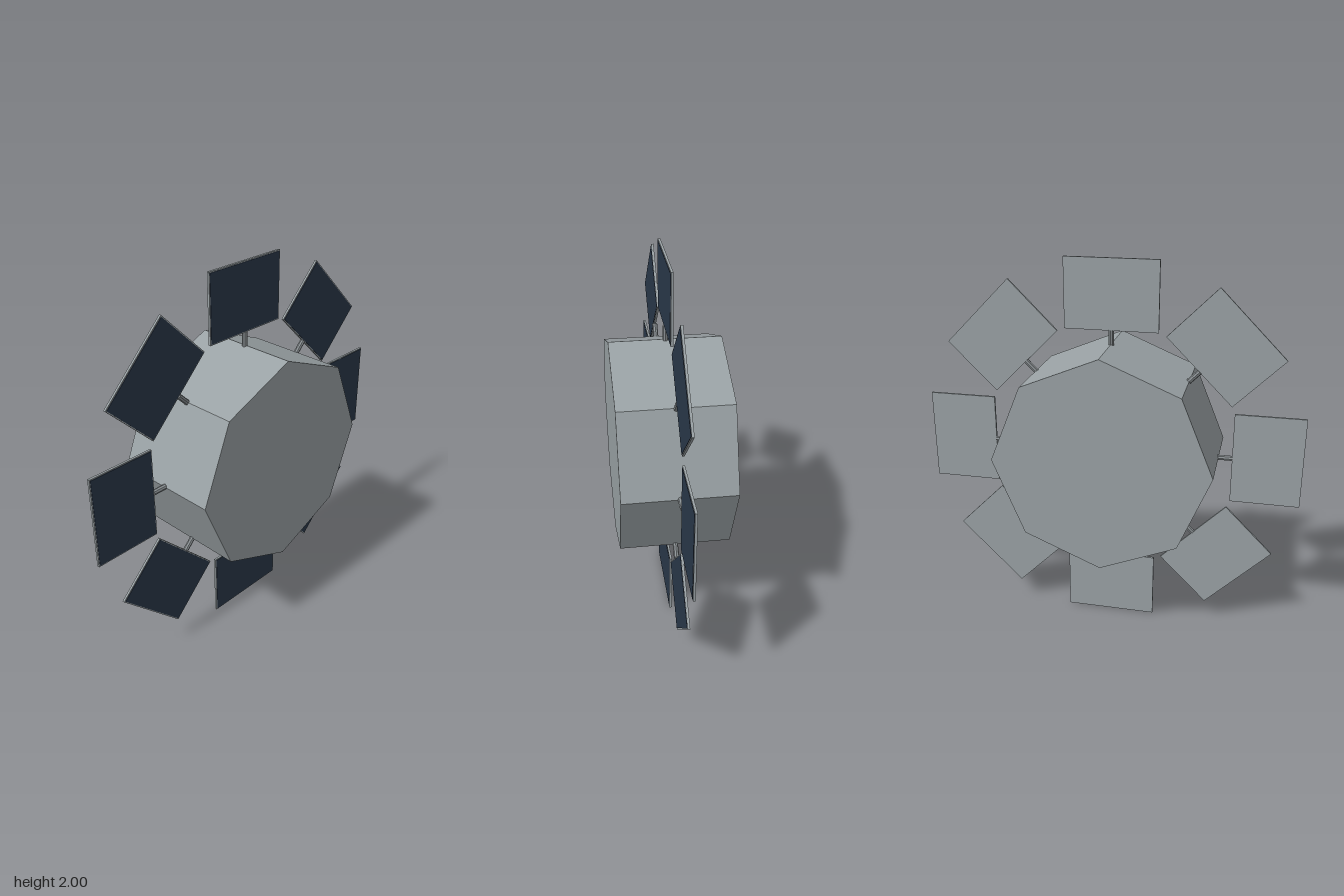
import * as THREE from 'three';

export function createModel() {
  const hullGrey = new THREE.MeshStandardMaterial({ name: 'hullGrey', color: 0x9aa2a5 });
  const strutGrey = new THREE.MeshStandardMaterial({ name: 'strutGrey', color: 0x8a9093 });
  const cellBlue = new THREE.MeshStandardMaterial({ name: 'cellBlue', color: 0x2a384a });

  const SIDES = 8, BODY_R = 0.57, BODY_DEPTH = 0.57;
  const PANEL_W = 0.485, PANEL_H = 0.36, PANEL_T = 0.012, RIM = 0.006;
  const PANEL_MID = 1 - PANEL_H / 2;

  const model = new THREE.Group();
  model.name = 'satellite';
  const add = (parent, name, geometry, material, x, y, z) => {
    const mesh = new THREE.Mesh(geometry, material);
    mesh.name = name;
    mesh.position.set(x, y, z);
    parent.add(mesh);
  };

  // Octagonal body with its axis along z and corners pointing at the panels
  const bodyGeo = new THREE.CylinderGeometry(BODY_R, BODY_R, BODY_DEPTH, SIDES)
    .toNonIndexed().rotateX(Math.PI / 2);
  bodyGeo.computeVertexNormals();
  add(model, 'body', bodyGeo, hullGrey, 0, 1, 0);

  // Short faceted struts, sunk into the body and ending at the panel
  const strutGeo = new THREE.CylinderGeometry(0.014, 0.014, 0.11, 8).toNonIndexed();
  strutGeo.computeVertexNormals();
  const panelGeo = new THREE.BoxGeometry(PANEL_W, PANEL_H, PANEL_T);
  const cellGeo = new THREE.BoxGeometry(PANEL_W - 2 * RIM, PANEL_H - 2 * RIM, 0.002);

  // One strut, panel and blue front face per body corner
  for (let i = 0; i < SIDES; i++) {
    const arm = new THREE.Group();
    arm.name = `solarArm${i + 1}`;
    arm.position.y = 1;
    arm.rotation.z = (i / SIDES) * Math.PI * 2;
    add(arm, 'strut', strutGeo, strutGrey, 0, 0.587, 0);
    add(arm, 'panelBacking', panelGeo, hullGrey, 0, PANEL_MID, 0);
    add(arm, 'solarCells', cellGeo, cellBlue, 0, PANEL_MID, PANEL_T / 2 + 0.001);
    model.add(arm);
  }
  return model;
}
